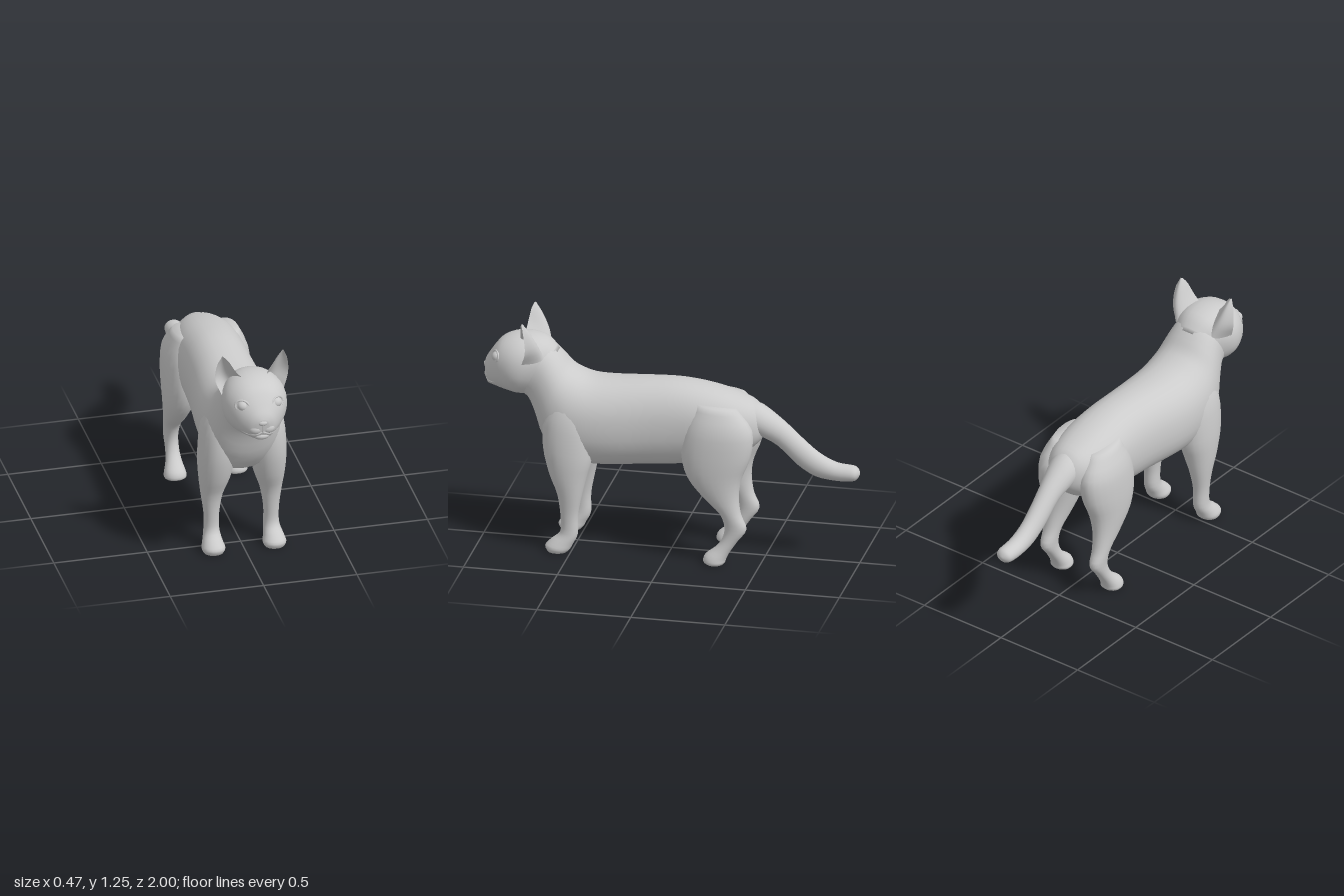
import * as THREE from 'three';

const material = new THREE.MeshStandardMaterial({ color: 0xcccccc });
const skin = new THREE.MeshStandardMaterial({ color: 0xcccccc, side: THREE.DoubleSide });

function makeMesh(name, geometry, mat = material) {
  const mesh = new THREE.Mesh(geometry, mat);
  mesh.name = name;
  return mesh;
}

function indexed(positions, indices) {
  const g = new THREE.BufferGeometry();
  g.setAttribute('position', new THREE.Float32BufferAttribute(positions, 3));
  g.setIndex(indices);
  g.computeVertexNormals();
  return g;
}

// Smooth value of column k of a table of rows at position t (in rows)
function sample(rows, t, k) {
  const n = rows.length - 1;
  const i = Math.min(Math.floor(t), n - 1), f = t - i;
  const p = j => rows[Math.max(0, Math.min(n, j))][k];
  const a = p(i - 1), b = p(i), c = p(i + 1), d = p(i + 2);
  return b + 0.5 * f * (c - a + f * (2 * a - 5 * b + 4 * c - d + f * (3 * (b - c) + d - a)));
}

// Closed skin over oval rings; each row: z, y of one edge, z, y of the opposite edge, half width, centre x
function loft(rows, { side = 1, steps = 3, sides = 24, power = 0.9 } = {}) {
  const pos = [], idx = [];
  const count = (rows.length - 1) * steps + 1;
  const round = v => Math.sign(v) * Math.abs(v) ** power;
  const full = rows.map(r => [...r, 0].slice(0, 6));
  for (let i = 0; i < count; i++) {
    const [z1, y1, z2, y2, w, cx] = [0, 1, 2, 3, 4, 5].map(k => sample(full, i / steps, k));
    for (let j = 0; j < sides; j++) {
      const a = (j / sides) * Math.PI * 2;
      const c = round(Math.cos(a)) / 2;
      pos.push(side * cx + w * round(Math.sin(a)), (y1 + y2) / 2 + c * (y1 - y2), (z1 + z2) / 2 + c * (z1 - z2));
    }
  }
  for (let i = 0; i < count - 1; i++) {
    for (let j = 0; j < sides; j++) {
      const a = i * sides + j, b = i * sides + (j + 1) % sides;
      idx.push(a, b, a + sides, b, b + sides, a + sides);
    }
  }
  // end caps
  [[0, full[0]], [(count - 1) * sides, full[full.length - 1]]].forEach(([start, r], end) => {
    const centre = pos.length / 3;
    pos.push(side * r[5], (r[1] + r[3]) / 2, (r[0] + r[2]) / 2);
    for (let j = 0; j < sides; j++) {
      const a = start + j, b = start + (j + 1) % sides;
      idx.push(centre, ...(end ? [a, b] : [b, a]));
    }
  });
  // turn the faces outward
  const v = k => new THREE.Vector3().fromArray(pos, k * 3);
  let volume = 0;
  for (let i = 0; i < idx.length; i += 3) volume += v(idx[i]).dot(v(idx[i + 1]).cross(v(idx[i + 2])));
  if (volume < 0) idx.reverse();
  return indexed(pos, idx);
}

const curve = points => new THREE.CatmullRomCurve3(points.map(p => new THREE.Vector3(...p)));

// Cupped ear surface between its inner edge, back ridge and outer edge
function earSurface(s, depth) {
  const inner = curve([[0.06, 1.12, 0.79], [0.098, 1.165, 0.785], [0.135, 1.225, 0.775], [0.158, 1.247, 0.765]]);
  const outer = curve([[0.165, 1.02, 0.765], [0.195, 1.1, 0.74], [0.188, 1.19, 0.75], [0.166, 1.247, 0.765]]);
  const back = curve([[0.11, 1.05, 0.66], [0.135, 1.12, 0.685], [0.153, 1.19, 0.72], [0.162, 1.247, 0.758]]);
  const pos = [], idx = [], n = 10, m = 12;
  for (let i = 0; i <= n; i++) {
    const a = inner.getPoint(i / n), c = outer.getPoint(i / n);
    const mid = a.clone().add(c).multiplyScalar(0.5);
    const control = mid.clone().lerp(back.getPoint(i / n), 2 * depth);
    const arc = new THREE.QuadraticBezierCurve3(a, control, c);
    for (let j = 0; j <= m; j++) {
      const p = arc.getPoint(j / m);
      pos.push(s * p.x, p.y, p.z);
      if (i < n && j < m) {
        const k = i * (m + 1) + j;
        const q = [k, k + m + 1, k + 1, k + 1, k + m + 1, k + m + 2];
        idx.push(...(s > 0 ? q : q.reverse()));
      }
    }
  }
  return indexed(pos, idx);
}

function ellipsoid(name, x, y, z, rx, ry, rz) {
  const mesh = makeMesh(name, new THREE.SphereGeometry(1, 18, 12));
  mesh.position.set(x, y, z);
  mesh.scale.set(rx, ry, rz);
  return mesh;
}

const torso = [
  [-0.50, 0.77, -0.49, 0.67, 0.05], [-0.45, 0.85, -0.46, 0.63, 0.105], [-0.36, 0.89, -0.38, 0.57, 0.155],
  [-0.22, 0.928, -0.22, 0.52, 0.18], [-0.05, 0.95, -0.05, 0.49, 0.182], [0.12, 0.945, 0.12, 0.475, 0.188],
  [0.30, 0.933, 0.28, 0.46, 0.203], [0.42, 0.935, 0.42, 0.455, 0.21], [0.50, 0.962, 0.57, 0.47, 0.208],
  [0.54, 0.99, 0.67, 0.58, 0.19], [0.575, 1.03, 0.72, 0.72, 0.168], [0.63, 1.085, 0.76, 0.80, 0.148],
  [0.69, 1.11, 0.82, 0.83, 0.14]];
const head = [
  [0.60, 1.06, 0.74, 0.81, 0.12], [0.66, 1.118, 0.79, 0.812, 0.153], [0.74, 1.14, 0.82, 0.815, 0.17],
  [0.82, 1.137, 0.85, 0.822, 0.166], [0.89, 1.112, 0.89, 0.83, 0.142], [0.93, 1.072, 0.925, 0.838, 0.115],
  [0.96, 1.03, 0.955, 0.845, 0.085], [0.982, 0.995, 0.972, 0.86, 0.06], [0.993, 0.965, 0.982, 0.89, 0.03]];
const tail = [
  [-0.40, 0.86, -0.43, 0.69, 0.09], [-0.48, 0.84, -0.49, 0.665, 0.082], [-0.60, 0.755, -0.57, 0.62, 0.06],
  [-0.70, 0.665, -0.67, 0.525, 0.053], [-0.785, 0.595, -0.765, 0.468, 0.05], [-0.875, 0.55, -0.87, 0.452, 0.05],
  [-0.96, 0.54, -0.96, 0.455, 0.048], [-0.988, 0.527, -0.988, 0.47, 0.034], [-1, 0.505, -1, 0.492, 0.008]];
const frontLeg = [
  [0.59, 0.87, 0.46, 0.85, 0.05, 0.12], [0.65, 0.75, 0.40, 0.71, 0.088, 0.13], [0.655, 0.58, 0.395, 0.53, 0.096, 0.138],
  [0.62, 0.43, 0.42, 0.42, 0.083, 0.146], [0.575, 0.32, 0.445, 0.31, 0.058, 0.158], [0.557, 0.2, 0.465, 0.2, 0.041, 0.16],
  [0.558, 0.11, 0.465, 0.1, 0.041, 0.16], [0.605, 0.065, 0.49, 0.045, 0.052, 0.163], [0.637, 0.03, 0.505, 0.015, 0.062, 0.163],
  [0.625, 0, 0.52, 0, 0.053, 0.163]];
const hindLeg = [
  [-0.16, 0.87, -0.37, 0.85, 0.05, 0.12], [-0.10, 0.75, -0.455, 0.74, 0.092, 0.13], [-0.08, 0.6, -0.45, 0.6, 0.092, 0.141],
  [-0.115, 0.47, -0.405, 0.48, 0.078, 0.15], [-0.205, 0.36, -0.39, 0.38, 0.06, 0.156], [-0.29, 0.28, -0.402, 0.28, 0.045, 0.16],
  [-0.315, 0.2, -0.432, 0.2, 0.038, 0.16], [-0.30, 0.135, -0.385, 0.13, 0.036, 0.16], [-0.265, 0.09, -0.345, 0.07, 0.042, 0.161],
  [-0.215, 0.05, -0.325, 0.03, 0.055, 0.163], [-0.203, 0.015, -0.32, 0.012, 0.06, 0.163], [-0.22, 0, -0.31, 0, 0.052, 0.163]];

export function createModel() {
  const cat = new THREE.Group();
  cat.name = 'cat';
  cat.add(makeMesh('torso', loft(torso, { sides: 32 })));
  cat.add(makeMesh('head', loft(head, { sides: 32, power: 0.92 })));
  cat.add(makeMesh('tail', loft(tail, { power: 1 })));

  // nose, chin and the groove below the nose
  cat.add(ellipsoid('nose', 0, 0.952, 0.984, 0.026, 0.016, 0.016));
  cat.add(ellipsoid('chin', 0, 0.866, 0.95, 0.045, 0.024, 0.034));
  cat.add(makeMesh('noseGroove', new THREE.TubeGeometry(curve([[0, 0.945, 0.994], [0, 0.92, 0.99], [0, 0.895, 0.984]]), 8, 0.004, 6)));

  for (const s of [1, -1]) {
    const label = s > 0 ? 'left' : 'right';
    cat.add(makeMesh(label + 'FrontLeg', loft(frontLeg, { side: s, power: 0.95 })));
    cat.add(makeMesh(label + 'HindLeg', loft(hindLeg, { side: s, power: 0.95 })));

    // ear: outer shell and shallower lining
    const ear = new THREE.Group();
    ear.name = label + 'Ear';
    ear.add(makeMesh('earShell', earSurface(s, 1), skin), makeMesh('earLining', earSurface(s, 0.6), skin));
    cat.add(ear);

    // eye with a slanted almond rim
    const eye = new THREE.Group();
    eye.name = label + 'Eye';
    eye.position.set(s * 0.086, 1.025, 0.907);
    eye.rotation.set(-0.25, s * 0.55, s * 0.2);
    const rim = makeMesh('eyeRim', new THREE.TorusGeometry(0.034, 0.006, 8, 24));
    rim.scale.set(1.15, 0.9, 1);
    rim.position.z = 0.014;
    eye.add(ellipsoid('eyeball', 0, 0, 0, 0.033, 0.03, 0.033), rim);
    cat.add(eye);

    // muzzle pad and lip line
    cat.add(ellipsoid(label + 'MuzzlePad', s * 0.032, 0.91, 0.955, 0.04, 0.034, 0.034));
    const lip = curve([[0, 0.897, 0.982], [s * 0.035, 0.882, 0.975], [s * 0.07, 0.879, 0.95], [s * 0.108, 0.89, 0.898]]);
    cat.add(makeMesh(label + 'Lip', new THREE.TubeGeometry(lip, 16, 0.006, 6)));
  }
  return cat;
}
